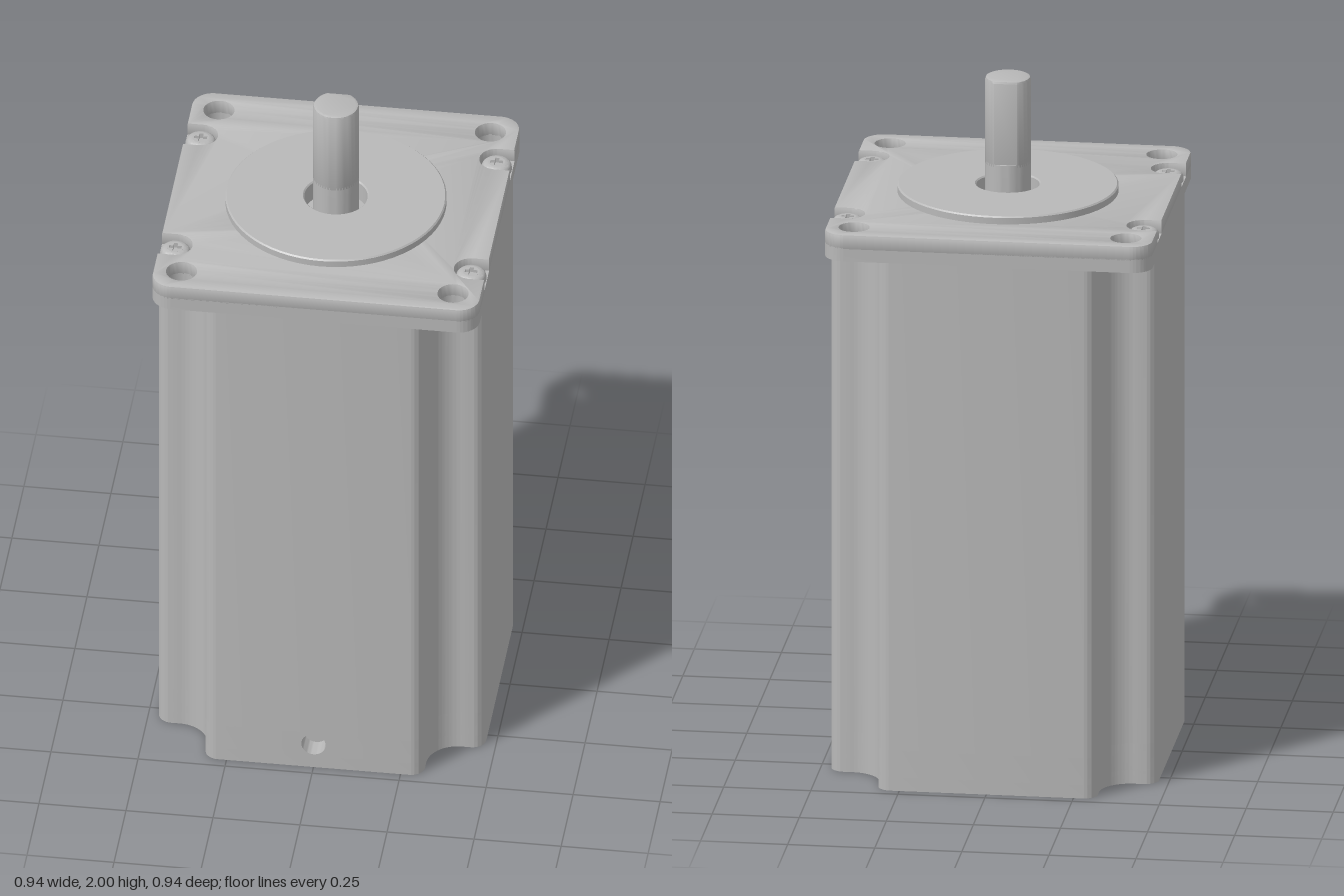
import * as THREE from 'three';
import { toCreasedNormals } from 'three/addons/utils/BufferGeometryUtils.js';

const steel = new THREE.MeshStandardMaterial({ color: 0xb8b8b8 });
steel.name = 'brushed grey metal';

const HALF = 0.47;
const SCREW_X = 0.425, SCREW_Z = 0.265;
const HOLE = 0.39;
const PI = Math.PI;
const signs = [[1, 1], [1, -1], [-1, 1], [-1, -1]];

export function createModel() {
  const group = new THREE.Group();
  group.name = 'stepperMotor';

  const add = (name, geometry) => {
    const mesh = new THREE.Mesh(toCreasedNormals(geometry, 0.6), steel);
    mesh.name = name;
    group.add(mesh);
    return mesh;
  };

  // Extrude a plan shape (x, -z) upwards between two heights, with optional bevel
  const slab = (shape, y0, y1, bevel = 0) => new THREE.ExtrudeGeometry(shape, {
    depth: y1 - y0 - 2 * bevel, curveSegments: 20, bevelEnabled: bevel > 0,
    bevelThickness: bevel, bevelSize: bevel, bevelOffset: -bevel, bevelSegments: 2,
  }).rotateX(-PI / 2).translate(0, y0 + bevel, 0);

  const lathe = (points) => new THREE.LatheGeometry(points.map(([r, y]) => new THREE.Vector2(r, y)), 64);

  const punch = (shape, x, y, r) => {
    shape.holes.push(new THREE.Path().absarc(x, y, r, 0, 2 * PI, true));
  };

  // Body plan: square with a filleted notch at each corner, optionally a slot in the front
  const bodyShape = (slot) => {
    const s = new THREE.Shape();
    const rot = (x, y, k) => [[x, y], [-y, x], [-x, -y], [y, -x]][k];
    s.moveTo(HALF, 0);
    for (let k = 0; k < 4; k++) {
      const a = k * PI / 2;
      if (slot && k === 3) {
        s.lineTo(-0.04, -HALF);
        s.lineTo(-0.04, -0.41);
        s.lineTo(0.04, -0.41);
        s.lineTo(0.04, -HALF);
      }
      s.absarc(...rot(0.43, 0.275, k), 0.04, a, a + PI / 2, false);
      s.absarc(...rot(0.405, 0.405, k), 0.09, a - PI / 2, a - PI, true);
      s.absarc(...rot(0.275, 0.43, k), 0.04, a, a + PI / 2, false);
    }
    return s;
  };

  // Bottom cover with screw holes and a bearing opening
  const base = bodyShape(false);
  signs.forEach(([i, j]) => punch(base, i * SCREW_X, j * SCREW_Z, 0.024));
  punch(base, 0, 0, 0.065);
  add('bottomCover', slab(base, 0, 0.04));
  add('rearShaftEnd', new THREE.CylinderGeometry(0.042, 0.042, 0.03, 40).translate(0, 0.03, 0));

  // Layer holding the cable hole, and the main housing above it
  add('cableLayer', slab(bodyShape(true), 0.04, 0.12));
  add('housing', slab(bodyShape(false), 0.12, 1.578));

  const collar = new THREE.Shape();
  collar.moveTo(-0.04, -0.04);
  collar.lineTo(0.04, -0.04);
  collar.lineTo(0.04, 0.04);
  collar.lineTo(-0.04, 0.04);
  punch(collar, 0, 0, 0.035);
  add('cableHole', new THREE.ExtrudeGeometry(collar, { depth: 0.06, bevelEnabled: false, curveSegments: 20 })
    .translate(0, 0.08, 0.41));

  // Mounting flange: a plain lower layer and an upper layer with open screw pockets
  const flangeShape = (pockets) => {
    const s = new THREE.Shape(), r = 0.06, c = HALF - r, p = 0.048;
    s.moveTo(HALF, -c);
    if (pockets) [-SCREW_Z, SCREW_Z].forEach((y) => {
      s.lineTo(HALF, y - p);
      s.absarc(SCREW_X, y, p, -PI / 2, PI / 2, true);
      s.lineTo(HALF, y + p);
    });
    s.absarc(c, c, r, 0, PI / 2, false);
    s.absarc(-c, c, r, PI / 2, PI, false);
    if (pockets) [SCREW_Z, -SCREW_Z].forEach((y) => {
      s.lineTo(-HALF, y + p);
      s.absarc(-SCREW_X, y, p, PI / 2, -PI / 2, true);
      s.lineTo(-HALF, y - p);
    });
    s.absarc(-c, -c, r, PI, 1.5 * PI, false);
    s.absarc(c, -c, r, 1.5 * PI, 2 * PI, false);
    signs.forEach(([i, j]) => punch(s, i * HOLE, j * HOLE, 0.043));
    return s;
  };
  add('flangeBase', slab(flangeShape(false), 1.578, 1.618));
  const upper = flangeShape(true);
  punch(upper, 0, 0, 0.12);
  add('flangeTop', slab(upper, 1.61, 1.657, 0.005));

  // Raised pilot ring with a recess around the shaft
  add('pilotRing', lathe([
    [0.315, 1.64], [0.315, 1.676], [0.311, 1.68], [0.094, 1.68], [0.09, 1.676], [0.09, 1.61],
  ]));

  // Shaft: round at the root, flattened at the back further up
  add('shaftRoot', new THREE.CylinderGeometry(0.065, 0.065, 0.14, 48).translate(0, 1.68, 0));
  const flat = Math.asin(0.056 / 0.065);
  const dShape = new THREE.Shape().absarc(0, 0, 0.065, PI - flat, 2 * PI + flat, false);
  dShape.closePath();
  add('shaft', slab(dShape, 1.735, 2, 0.008));

  // Pan-head screws with a cross recess
  const cross = new THREE.Path();
  const a = 0.006, b = 0.018;
  [[b, -a], [a, -a], [a, -b], [-a, -b], [-a, -a], [-b, -a], [-b, a], [-a, a], [-a, b], [a, b], [a, a], [b, a]]
    .forEach(([x, y], i) => (i ? cross.lineTo(x, y) : cross.moveTo(x, y)));
  cross.closePath();
  const cap = new THREE.Shape().absarc(0, 0, 0.024, 0, 2 * PI, false);
  cap.holes.push(cross);
  signs.forEach(([i, j]) => {
    const x = i * SCREW_X, z = j * SCREW_Z;
    add('screwHead', lathe([
      [0.043, 1.615], [0.043, 1.632], [0.041, 1.638], [0.036, 1.643], [0.03, 1.646], [0.024, 1.647],
    ]).translate(x, 0, z));
    add('screwCross', slab(cap, 1.63, 1.647).translate(x, 0, z));
    add('screwCore', new THREE.CylinderGeometry(0.024, 0.024, 0.015, 24).translate(x, 1.6235, z));
  });

  return group;
}
